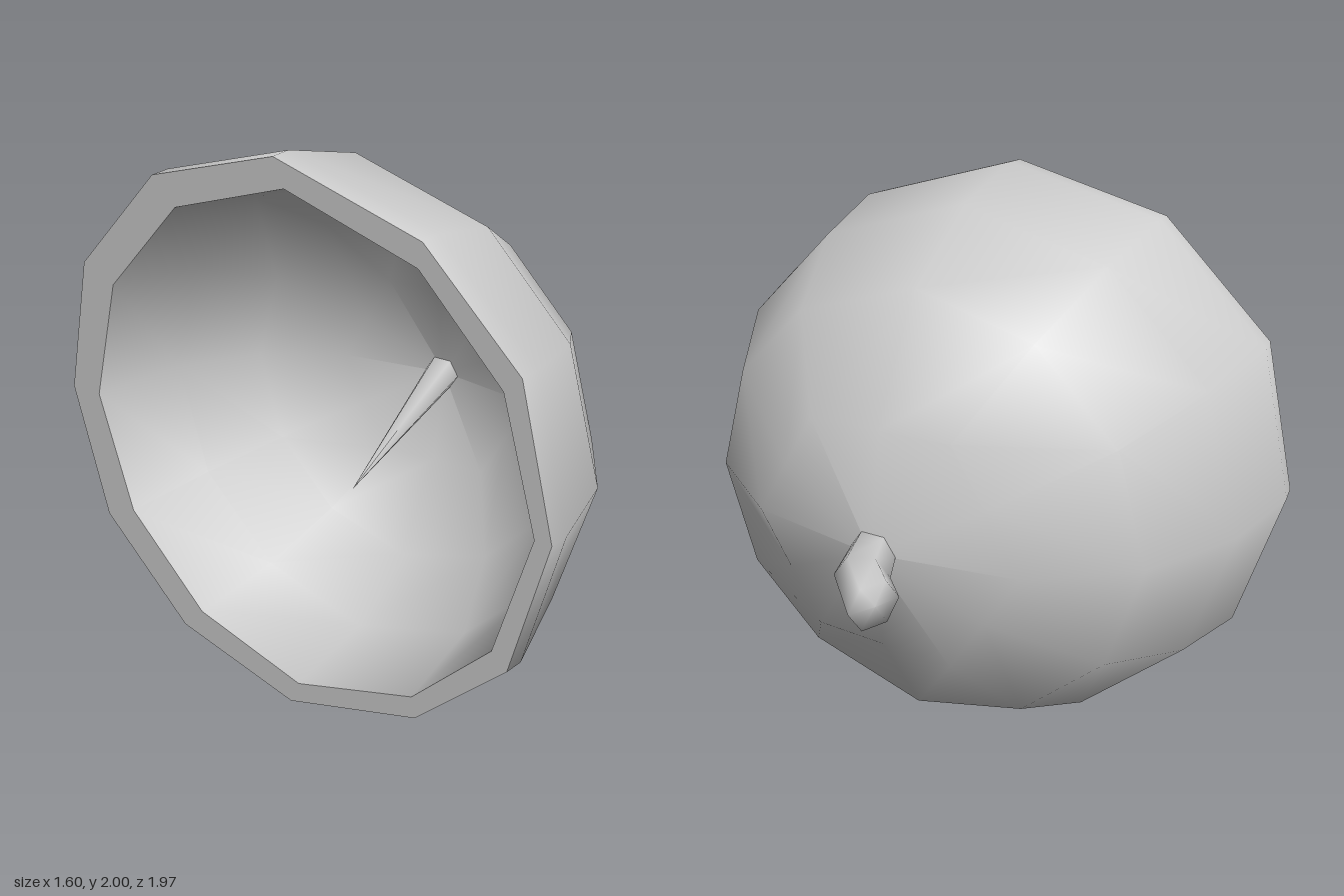
import * as THREE from 'three';

const SIDES = 12;
// Dome frame: opening centre, axis pointing out of the dome's back, sideways axis across the opening
const CENTRE = new THREE.Vector3(-0.385, 1, 0.05);
const AXIS = new THREE.Vector3(0.913, 0, -0.407);
const ACROSS = new THREE.Vector3(0.407, 0, 0.913);

// Skin a list of equal-sized closed rings with smooth normals
function loft(rings) {
  const n = rings[0].length;
  const index = [];
  for (let i = 0; i < rings.length - 1; i++) {
    for (let j = 0; j < n; j++) {
      const k = (j + 1) % n;
      const a = i * n + j, b = a + n, c = i * n + k, d = c + n;
      index.push(a, b, c, c, b, d);
    }
  }
  const geometry = new THREE.BufferGeometry().setFromPoints(rings.flat());
  geometry.setIndex(index);
  geometry.computeVertexNormals();
  return geometry;
}

// Uneven dome outline: angles in degrees and radius factors, mirrored above and below
const ANGLES = [0, 28.7, 56, 89.5, 120.7, 150.5, 180];
const LIP = [1, 1, 0.971, 0.973, 0.988, 1.005, 1];
const BODY = [1, 0.985, 0.969, 0.976, 0.975, 0.985, 1];

function domeRing(depth, radius, factors, shift = 0) {
  return Array.from({ length: SIDES }, (_, j) => {
    const m = j <= 6 ? j : SIDES - j;
    const angle = THREE.MathUtils.degToRad(j <= 6 ? ANGLES[m] : -ANGLES[m]);
    const r = radius * factors[m];
    return CENTRE.clone()
      .addScaledVector(AXIS, depth)
      .addScaledVector(ACROSS, Math.cos(angle) * r + shift)
      .add(new THREE.Vector3(0, Math.sin(angle) * r, 0));
  });
}

// Flatten a ring to six sides by moving every second point to the middle of its neighbours
function sixSided(ring) {
  return ring.map((p, j) => (j % 2 ? ring[j - 1].clone().lerp(ring[(j + 1) % SIDES], 0.5) : p));
}

// Six-sided stem ring from its centre, sideways half-width and height
function stemRing(x, z, hx, hz, height) {
  return Array.from({ length: 6 }, (_, j) => {
    const angle = (j / 6) * Math.PI * 2;
    return new THREE.Vector3(
      x + Math.cos(angle) * hx,
      1.003 + Math.sin(angle) * height,
      z + Math.cos(angle) * hz
    );
  });
}

export function createModel() {
  const model = new THREE.Group();
  model.name = 'hollowDome';
  const grey = new THREE.MeshStandardMaterial({ color: 0xcccccc });
  grey.name = 'plain grey';

  const add = (name, rings, parent) => {
    const mesh = new THREE.Mesh(loft(rings), grey);
    mesh.name = name;
    parent.add(mesh);
  };

  // Bowl: outer shell, inner shell and the flat rim between them
  const bowl = new THREE.Group();
  bowl.name = 'bowl';
  model.add(bowl);
  const outer = [
    domeRing(0, 1.02, LIP),
    domeRing(0.076, 1.027, LIP),
    domeRing(0.41, 0.958, BODY),
    domeRing(0.731, 0.772, BODY),
    sixSided(domeRing(0.951, 0.463, BODY)),
    domeRing(1.03, 0, BODY),
  ];
  const inner = [
    domeRing(0.94, 0, BODY, 0.03),
    sixSided(domeRing(0.865, 0.42, BODY, 0.03)),
    domeRing(0.665, 0.7, BODY, 0.03),
    domeRing(0.375, 0.875, BODY, 0.035),
    domeRing(0, 0.922, BODY, 0.04),
  ];
  add('outerShell', outer, bowl);
  add('innerShell', inner, bowl);
  add('rim', [inner[inner.length - 1], outer[0]], bowl);

  // Stem: a long spike inside the bowl that continues as a bent stub outside
  add('stem', [
    stemRing(-0.3, 0.39, 0, 0, 0),
    stemRing(0.55, -0.37, 0.035, 0.07, 0.07),
    stemRing(0.65, -0.46, 0.06, 0.06, 0.072),
    stemRing(0.715, -0.613, 0.085, 0.005, 0.08),
    stemRing(0.715, -0.62, 0, 0, 0),
  ], model);

  return model;
}
